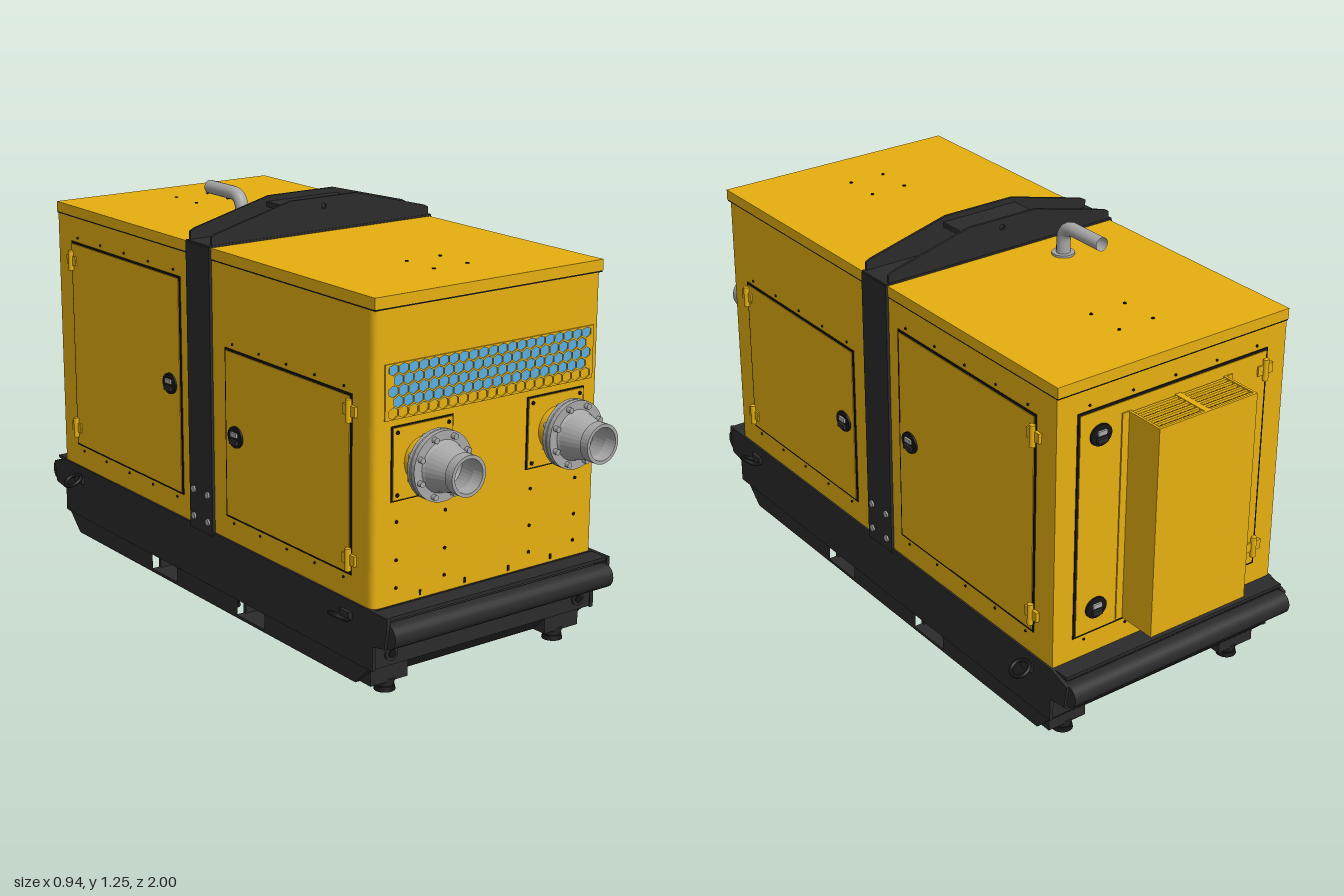
import * as THREE from 'three';

const mat = (color) => new THREE.MeshStandardMaterial({ color });
const yellow = mat(0xe6b010), dark = mat(0x2b2b2b), black = mat(0x151515);
const grey = mat(0xa8a8a8), blue = mat(0x5aade0);

function add(parent, name, geo, m, x = 0, y = 0, z = 0) {
  const mesh = new THREE.Mesh(geo, m);
  mesh.name = name;
  mesh.position.set(x, y, z);
  parent.add(mesh);
  return mesh;
}
const box = (p, name, m, w, h, d, x, y, z) => add(p, name, new THREE.BoxGeometry(w, h, d), m, x, y, z);

// Cylinder along a chosen axis
function rod(p, name, m, r, len, axis, x, y, z, r2 = r, sides = 24) {
  const g = new THREE.CylinderGeometry(r, r2, len, sides);
  if (axis === 'x') g.rotateZ(-Math.PI / 2);
  if (axis === 'z') g.rotateX(Math.PI / 2);
  return add(p, name, g, m, x, y, z);
}
const poly = (pts) => new THREE.Shape(pts.map(([a, b]) => new THREE.Vector2(a, b)));

// Extrude a (z, y) outline along x, centred on x
function sideProfile(p, name, m, shape, width, x = 0) {
  const g = new THREE.ExtrudeGeometry(shape, { depth: width, bevelEnabled: false });
  g.translate(0, 0, -width / 2).rotateY(-Math.PI / 2);
  return add(p, name, g, m, x);
}

// Recessed latch facing +z
function latch(p, x, y) {
  const g = new THREE.Group();
  g.name = 'doorLatch';
  g.position.set(x, y, 0.006);
  p.add(g);
  rod(g, 'latchPlate', black, 0.036, 0.008, 'z', 0, 0, 0).scale.y = 0.9;
  box(g, 'latchLever', grey, 0.03, 0.014, 0.008, 0, 0.008, 0.006);
  box(g, 'latchGrip', dark, 0.034, 0.014, 0.012, 0, -0.014, 0.006);
}

// Door facing +z: dark gap, panel, latches, hinges and rivets
function door(w, h, latches, hingeU) {
  const g = new THREE.Group();
  g.name = 'door';
  box(g, 'doorGap', black, w, h, 0.004, 0, 0, 0);
  box(g, 'doorPanel', yellow, w - 0.014, h - 0.014, 0.008, 0, 0, 0);
  latches.forEach(([x, y]) => latch(g, x, y));
  for (const s of [-1, 1]) {
    box(g, 'hingeLeaf', yellow, 0.055, 0.03, 0.012, hingeU, s * h * 0.41, 0.003);
    rod(g, 'hingePin', yellow, 0.009, 0.065, 'y', hingeU, s * h * 0.41, 0.009, 0.009, 12);
    for (let i = -2; i <= 2; i++)
      rod(g, 'rivet', black, 0.004, 0.004, 'z', i * w * 0.22, s * (h / 2 + 0.015), 0, 0.004, 8);
  }
  return g;
}

function buildCanopy(root) {
  const g = new THREE.Group();
  g.name = 'canopy';
  root.add(g);
  // Body with rounded front corners
  const r = 0.025, s = new THREE.Shape();
  s.moveTo(-0.403, 0.868);
  s.lineTo(-0.403, -0.8 + r);
  s.quadraticCurveTo(-0.403, -0.8, -0.403 + r, -0.8);
  s.lineTo(0.403 - r, -0.8);
  s.quadraticCurveTo(0.403, -0.8, 0.403, -0.8 + r);
  s.lineTo(0.403, 0.868);
  const body = new THREE.ExtrudeGeometry(s, { depth: 0.845, bevelEnabled: false });
  add(g, 'body', body.rotateX(-Math.PI / 2), yellow, 0, 0.265, 0);
  box(g, 'roof', yellow, 0.81, 0.032, 1.675, 0, 1.124, -0.035);
  box(g, 'roofSeam', black, 0.808, 0.005, 1.673, 0, 1.106, -0.035);
  for (const x of [-0.06, 0.06]) for (const z of [-0.7, -0.58, 0.5, 0.62])
    rod(g, 'roofRivet', black, 0.005, 0.004, 'y', x, 1.141, z, 0.005, 8);
  for (const x of [-0.325, -0.155, 0.155, 0.325]) for (const y of [0.32, 0.4, 0.51])
    rod(g, 'frontRivet', black, 0.005, 0.004, 'z', x, y, 0.801, 0.005, 8);
  for (const x of [-0.24, -0.08, 0.08, 0.24]) box(g, 'drainSlot', black, 0.007, 0.016, 0.004, x, 0.288, 0.8);

  // Side doors on both sides, and the back door
  for (const sx of [1, -1]) {
    const front = door(0.61, 0.515, [[sx * 0.247, 0]], -sx * 0.3);
    const rear = door(0.643, 0.68, [[-sx * 0.263, 0]], sx * 0.315);
    front.position.set(sx * 0.404, 0.6025, 0.4);
    rear.position.set(sx * 0.404, 0.685, -0.4635);
    for (const d of [front, rear]) { d.rotation.y = sx * Math.PI / 2; g.add(d); }
  }
  const back = door(0.67, 0.7, [[-0.26, 0.27], [-0.26, -0.27]], 0.325);
  back.position.set(0, 0.69, -0.869);
  back.rotation.y = Math.PI;
  g.add(back);

  // Honeycomb air inlet
  box(g, 'inletPanel', blue, 0.72, 0.12, 0.004, 0.005, 0.89, 0.8);
  const mesh = poly([[-0.37, 0.8], [0.375, 0.8], [0.375, 0.955], [-0.37, 0.955]]);
  const hr = 0.0185, px = 0.0345, py = 0.03;
  for (let j = 0; j < 5; j++) for (let i = 0; i < 21 - (j % 2); i++) {
    const cx = -0.342 + i * px + (j % 2) * px / 2, cy = 0.818 + j * py, pts = [];
    for (let k = 0; k < 6; k++) {
      const a = Math.PI / 6 - k * Math.PI / 3;
      pts.push([cx + hr * Math.cos(a), Math.min(0.952, cy + hr * Math.sin(a) * 0.9)]);
    }
    mesh.holes.push(poly(pts));
  }
  add(g, 'inletMesh', new THREE.ExtrudeGeometry(mesh, { depth: 0.004, bevelEnabled: false }), yellow, 0, 0, 0.801);
}

// Hose port: mounting plate, pipe, bolted flange and hollow tapered nozzle
function buildPort(root, x) {
  const g = new THREE.Group();
  g.name = 'hosePort';
  g.position.set(x, 0.675, 0);
  root.add(g);
  box(g, 'plateGap', black, 0.212, 0.212, 0.006, 0, 0, 0.8);
  box(g, 'mountPlate', yellow, 0.204, 0.204, 0.012, 0, 0, 0.8);
  for (const a of [-1, 1]) for (const b of [-1, 1])
    rod(g, 'plateBolt', black, 0.006, 0.008, 'z', a * 0.088, b * 0.088, 0.805, 0.006, 8);
  rod(g, 'pipe', yellow, 0.065, 0.07, 'z', 0, 0, 0.835, 0.065, 32);
  const prof = [[0.03, 0.862], [0.1, 0.862], [0.1, 0.874], [0.098, 0.876], [0.1, 0.878], [0.1, 0.892], [0.074, 0.892],
    [0.07, 0.9], [0.054, 0.965], [0.058, 0.968], [0.058, 0.998], [0.048, 0.998], [0.046, 0.96], [0.058, 0.9], [0.03, 0.864]];
  const nozzle = new THREE.LatheGeometry(prof.map(([r, z]) => new THREE.Vector2(r, z)), 32);
  const m = add(g, 'nozzle', nozzle.rotateX(Math.PI / 2), grey.clone());
  m.material.side = THREE.DoubleSide;
  m.material.flatShading = true;
  for (let i = 0; i < 8; i++) {
    const a = (i + 0.5) * Math.PI / 4;
    rod(g, 'flangeBolt', grey, 0.009, 0.056, 'z', 0.086 * Math.cos(a), 0.086 * Math.sin(a), 0.877, 0.009, 6);
  }
}

// Air outlet cowl on the back, slatted on top and open below
function buildCowl(root) {
  const g = new THREE.Group();
  g.name = 'outletCowl';
  g.position.x = -0.007;
  root.add(g);
  box(g, 'cowlFace', yellow, 0.345, 0.65, 0.008, 0, 0.675, -0.996);
  for (const s of [-1, 1]) {
    box(g, 'cowlSide', yellow, 0.008, 0.65, 0.13, s * 0.1685, 0.675, -0.935);
    box(g, 'cowlFlange', yellow, 0.03, 0.65, 0.006, s * 0.18, 0.675, -0.874);
  }
  for (let i = 0; i < 6; i++) box(g, 'slat', yellow, 0.34, 0.008, 0.009, 0, 0.994, -0.883 - i * 0.021);
  box(g, 'slatDivider', yellow, 0.02, 0.01, 0.125, 0, 0.994, -0.935);
  box(g, 'ventShadow', black, 0.33, 0.004, 0.122, 0, 0.968, -0.933);
  box(g, 'lowerLip', yellow, 0.33, 0.006, 0.03, 0, 0.353, -0.98);
}

// Lifting frame around the middle
function buildLiftFrame(root) {
  const g = new THREE.Group();
  g.name = 'liftFrame';
  root.add(g);
  const outline = poly([[-0.4, 1.135], [0.4, 1.135], [0.4, 1.17], [0.385, 1.178], [0.12, 1.245], [-0.12, 1.245], [-0.385, 1.178], [-0.4, 1.17]]);
  const eye = new THREE.Path();
  eye.absarc(0, 1.217, 0.009, 0, Math.PI * 2, true);
  outline.holes.push(eye);
  for (const z of [0.018, -0.094])
    add(g, 'liftPlate', new THREE.ExtrudeGeometry(outline, { depth: 0.008, bevelEnabled: false }), dark, 0, 0, z);
  box(g, 'liftBridge', dark, 0.26, 0.016, 0.11, 0, 1.22, -0.034);
  box(g, 'topStrap', dark, 0.82, 0.012, 0.124, 0, 1.14, -0.034);
  for (const s of [-1, 1]) {
    box(g, 'post', dark, 0.012, 0.88, 0.124, s * 0.406, 0.7, -0.034);
    for (const y of [0.3, 0.385]) for (const z of [0.004, -0.072])
      rod(g, 'postBolt', grey, 0.011, 0.014, 'x', s * 0.411, y, z, 0.011, 6);
  }
}

function buildBase(root) {
  const g = new THREE.Group();
  g.name = 'skidBase';
  root.add(g);
  box(g, 'deck', dark, 0.8, 0.172, 1.67, 0, 0.186, -0.03);
  // Side plates carrying the bumper rolls, and rails with fork pockets
  const wing = poly([[0.87, 0.272], [0.87, 0.24], [0.86, 0.18], [0.808, 0.17], [0.808, 0.097], [-0.868, 0.097], [-0.868, 0.17], [-0.93, 0.18], [-0.94, 0.25], [-0.87, 0.272]]);
  const pockets = [0.209, -0.27];
  for (const s of [-1, 1]) {
    sideProfile(g, 'sidePlate', dark, wing, 0.012, s * 0.403);
    const rail = poly([[0.79, 0.1], [0.72, 0.033], [-0.8, 0.033], [-0.868, 0.1]]);
    for (const z of pockets) rail.holes.push(poly([[z - 0.071, 0.042], [z - 0.071, 0.096], [z + 0.071, 0.096], [z + 0.071, 0.042]]));
    sideProfile(g, 'lowerRail', dark, rail, 0.04, s * 0.38);
  }
  for (const z of pockets) {
    box(g, 'pocketFloor', dark, 0.8, 0.008, 0.16, 0, 0.037, z);
    for (const s of [-1, 1]) box(g, 'pocketWall', dark, 0.74, 0.064, 0.012, 0, 0.069, z + s * 0.077);
  }
  // Sloping end beams and tray rims
  sideProfile(g, 'frontBeam', dark, poly([[0.79, 0.1], [0.72, 0.033], [0.64, 0.033], [0.64, 0.1]]), 0.74);
  sideProfile(g, 'backBeam', dark, poly([[-0.868, 0.1], [-0.8, 0.033], [-0.72, 0.033], [-0.72, 0.1]]), 0.74);
  for (const [z, d] of [[0.46, 0.3], [-0.03, 0.27], [-0.54, 0.3]]) for (const s of [-1, 1]) {
    box(g, 'trayRim', dark, 0.5, 0.03, 0.02, 0, 0.085, z + s * d / 2);
    box(g, 'trayRim', dark, 0.02, 0.03, d, s * 0.25, 0.085, z);
  }
  // Bumper rolls and drain plugs
  for (const [z, endZ, s] of [[0.862, 0.807, 1], [-0.932, -0.867, -1]]) {
    rod(g, 'bumperRoll', dark, 0.036, 0.8, 'x', 0, 0.215, z);
    box(g, 'bumperShelf', dark, 0.8, 0.01, 0.06, 0, 0.266, endZ + s * 0.03);
    box(g, 'bumperBracket', dark, 0.8, 0.05, 0.05, 0, 0.21, endZ + s * 0.02);
    for (const x of [-0.345, 0.345]) {
      rod(g, 'plugRing', dark, 0.021, 0.012, 'z', x, 0.137, endZ);
      rod(g, 'plug', black, 0.012, 0.018, 'z', x, 0.137, endZ);
    }
  }
  // Feet and tie-down rings
  for (const s of [-1, 1]) {
    for (const z of [0.74, -0.03, -0.805]) {
      rod(g, 'footPad', black, 0.028, 0.014, 'y', s * 0.313, 0.007, z, 0.031);
      rod(g, 'footStem', dark, 0.034, 0.026, 'y', s * 0.313, 0.027, z, 0.024);
      box(g, 'footBlock', dark, 0.13, 0.065, 0.06, s * 0.32, 0.066, z);
    }
    for (const [z, tilt] of [[0.692, 1], [-0.768, -1]]) {
      const ring = add(g, 'tieRing', new THREE.TorusGeometry(0.028, 0.006, 8, 24), black, s * 0.438, 0.23, z);
      ring.rotation.set(Math.PI / 2, s * tilt * 0.5, 0);
      box(g, 'tieLug', dark, 0.014, 0.024, 0.045, s * 0.413, 0.23, z);
    }
  }
}

export function createModel() {
  const root = new THREE.Group();
  root.name = 'pumpSet';
  buildBase(root);
  buildCanopy(root);
  buildLiftFrame(root);
  buildPort(root, -0.24);
  buildPort(root, 0.24);
  buildCowl(root);
  // Bent exhaust pipe on the roof
  const path = new THREE.CurvePath(), v = (y, z) => new THREE.Vector3(-0.135, y, z);
  path.add(new THREE.LineCurve3(v(1.13, -0.21), v(1.18, -0.21)));
  path.add(new THREE.QuadraticBezierCurve3(v(1.18, -0.21), v(1.23, -0.21), v(1.23, -0.26)));
  path.add(new THREE.LineCurve3(v(1.23, -0.26), v(1.23, -0.385)));
  const pipe = add(root, 'exhaustPipe', new THREE.TubeGeometry(path, 32, 0.021, 16), grey.clone());
  pipe.material.side = THREE.DoubleSide;
  rod(root, 'exhaustCollar', grey, 0.034, 0.008, 'y', -0.135, 1.143, -0.21);
  return root;
}
